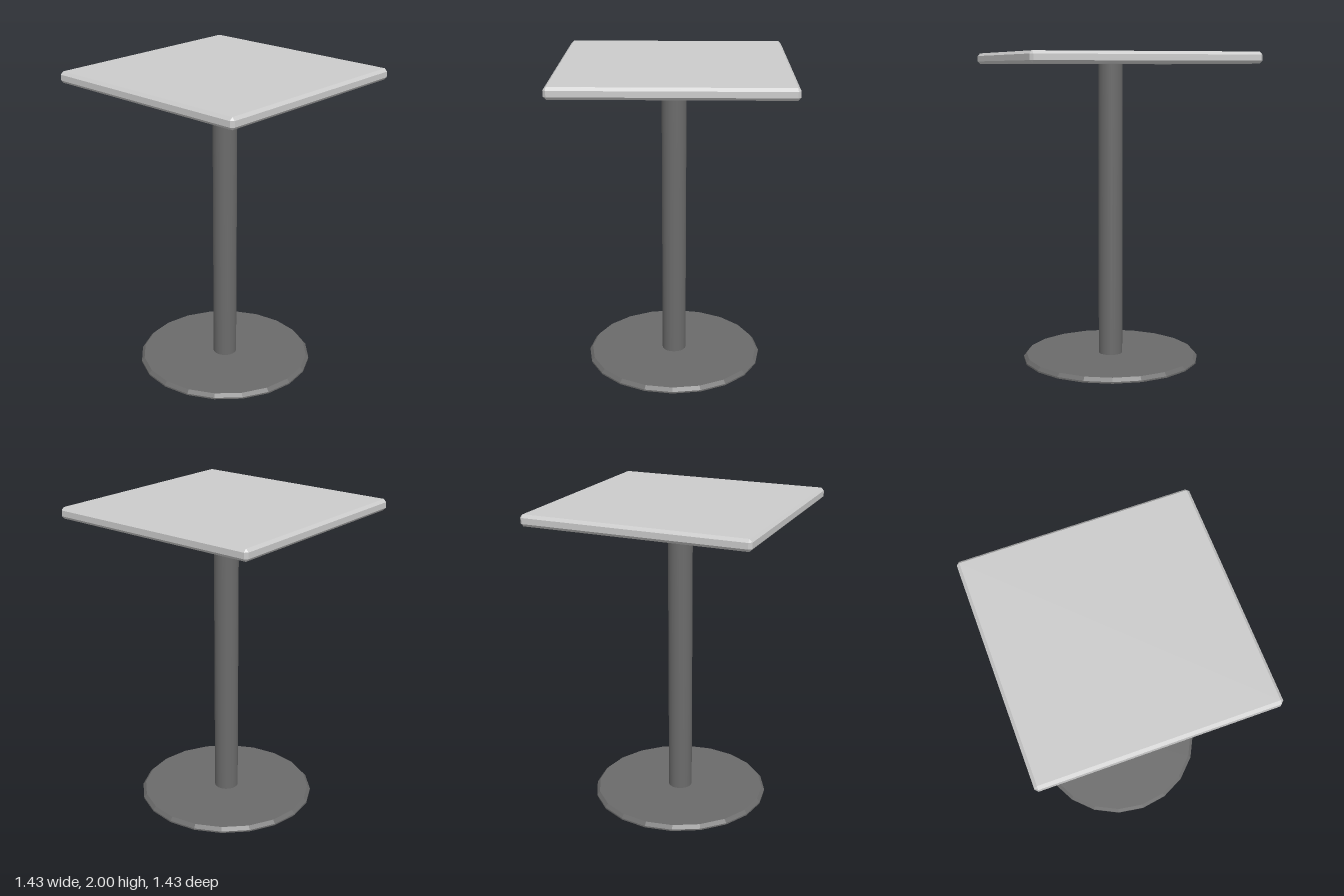
import * as THREE from 'three';
import { ConvexGeometry } from 'three/addons/geometries/ConvexGeometry.js';

// Box with every edge and corner chamfered, as the hull of 24 points
function chamferedBox(hx, hy, hz, c) {
  const points = [];
  for (const x of [-1, 1]) for (const y of [-1, 1]) for (const z of [-1, 1]) {
    points.push(
      new THREE.Vector3(x * hx, y * (hy - c), z * (hz - c)),
      new THREE.Vector3(x * (hx - c), y * hy, z * (hz - c)),
      new THREE.Vector3(x * (hx - c), y * (hy - c), z * hz)
    );
  }
  return new ConvexGeometry(points);
}

export function createModel() {
  const group = new THREE.Group();
  const light = new THREE.MeshStandardMaterial({ color: 0xcccccc, flatShading: true });
  const dark = new THREE.MeshStandardMaterial({ color: 0x6b6b6b });
  const darkFlat = new THREE.MeshStandardMaterial({ color: 0x6b6b6b, flatShading: true });

  const add = (name, geometry, material, y = 0) => {
    const mesh = new THREE.Mesh(geometry, material);
    mesh.name = name;
    mesh.position.y = y;
    group.add(mesh);
  };

  // Square top with chamfered rim
  add('tableTop', chamferedBox(0.715, 0.036, 0.715, 0.018), light, 1.964);

  // Central column
  add('column', new THREE.CylinderGeometry(0.078, 0.078, 1.9, 20), dark, 0.98);

  // Round foot plate with bevelled upper edge
  const profile = [[0, 0], [0.575, 0], [0.575, 0.01], [0.556, 0.032], [0, 0.032]]
    .map(([r, y]) => new THREE.Vector2(r, y));
  add('basePlate', new THREE.LatheGeometry(profile, 20), darkFlat);

  return group;
}
